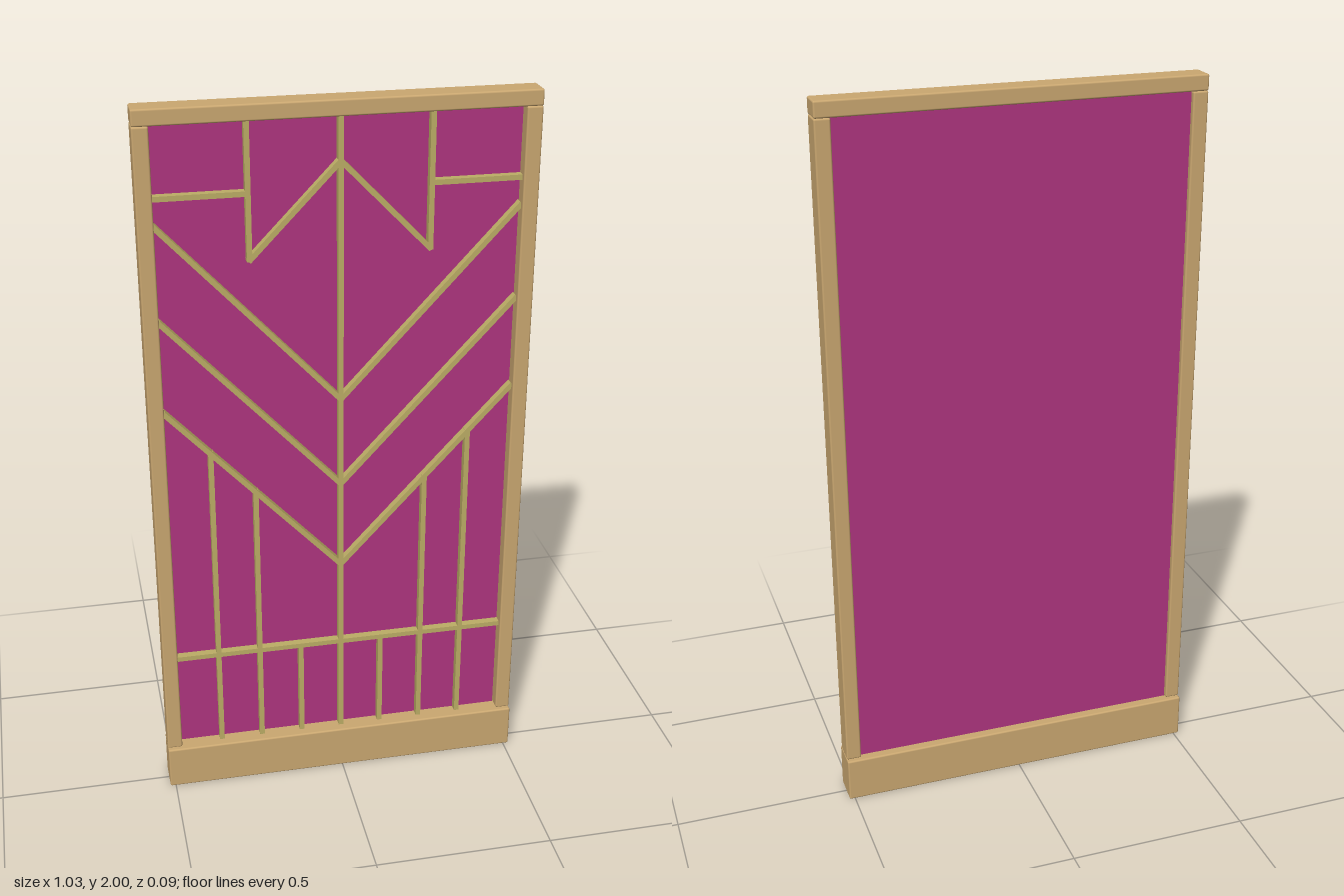
import * as THREE from 'three';
import { RoundedBoxGeometry } from 'three/addons/geometries/RoundedBoxGeometry.js';

export function createModel() {
  const group = new THREE.Group();
  const material = (name, color) => {
    const m = new THREE.MeshStandardMaterial({ color });
    m.name = name;
    return m;
  };
  const wood = material('tan wood', 0xcba871);
  const glass = material('magenta glass', 0xb03580);
  const lead = material('brass strip', 0xbdae66);

  const add = (name, geometry, mat, x, y, z) => {
    const mesh = new THREE.Mesh(geometry, mat);
    mesh.name = name;
    mesh.position.set(x, y, z);
    group.add(mesh);
    return mesh;
  };
  const beam = (name, w, h, d, x, y) =>
    add(name, new RoundedBoxGeometry(w, h, d, 2, 0.005), wood, x, y, 0);

  // Frame
  const halfW = 0.516, inner = 0.474, baseTop = 0.128, railBottom = 1.957;
  beam('base', halfW * 2, baseTop, 0.092, 0, baseTop / 2);
  beam('topRail', halfW * 2, 2 - railBottom, 0.07, 0, (2 + railBottom) / 2);
  for (const s of [-1, 1]) {
    beam(s > 0 ? 'leftPost' : 'rightPost', halfW - inner, railBottom - baseTop, 0.068,
      s * (halfW + inner) / 2, (railBottom + baseTop) / 2);
  }

  // Coloured pane, set back from the front
  add('pane', new THREE.BoxGeometry(inner * 2, railBottom - baseTop, 0.018), glass,
    0, (railBottom + baseTop) / 2, -0.011);

  // Raised strips on the front of the pane
  const width = 0.014, depth = 0.022;
  const strip = (name, x1, y1, x2, y2) => {
    const length = Math.hypot(x2 - x1, y2 - y1) + width * 0.5;
    const mesh = add(name, new THREE.BoxGeometry(length, width, depth), lead,
      (x1 + x2) / 2, (y1 + y2) / 2, -0.002 + depth / 2);
    mesh.rotation.z = Math.atan2(y2 - y1, x2 - x1);
  };
  strip('centreStrip', 0, baseTop, 0, railBottom);
  strip('crossStrip', -inner, 0.422, inner, 0.422);
  for (const s of [-1, 1]) {
    // Lower uprights
    for (const [x, top] of [[0.117, 0.422], [0.236, 0.934], [0.355, 1.062]]) {
      strip('lowerUpright', s * x, baseTop, s * x, top);
    }
    // Stacked chevrons
    for (const y of [0.68, 0.935, 1.19]) {
      strip('chevronStrip', 0, y, s * inner, y + 0.51);
    }
    // Upper point with its side panels
    strip('upperPoint', 0, 1.842, s * 0.236, 1.597);
    strip('upperUpright', s * 0.236, 1.597, s * 0.236, railBottom);
    strip('upperCross', s * 0.236, 1.772, s * inner, 1.772);
  }
  return group;
}
